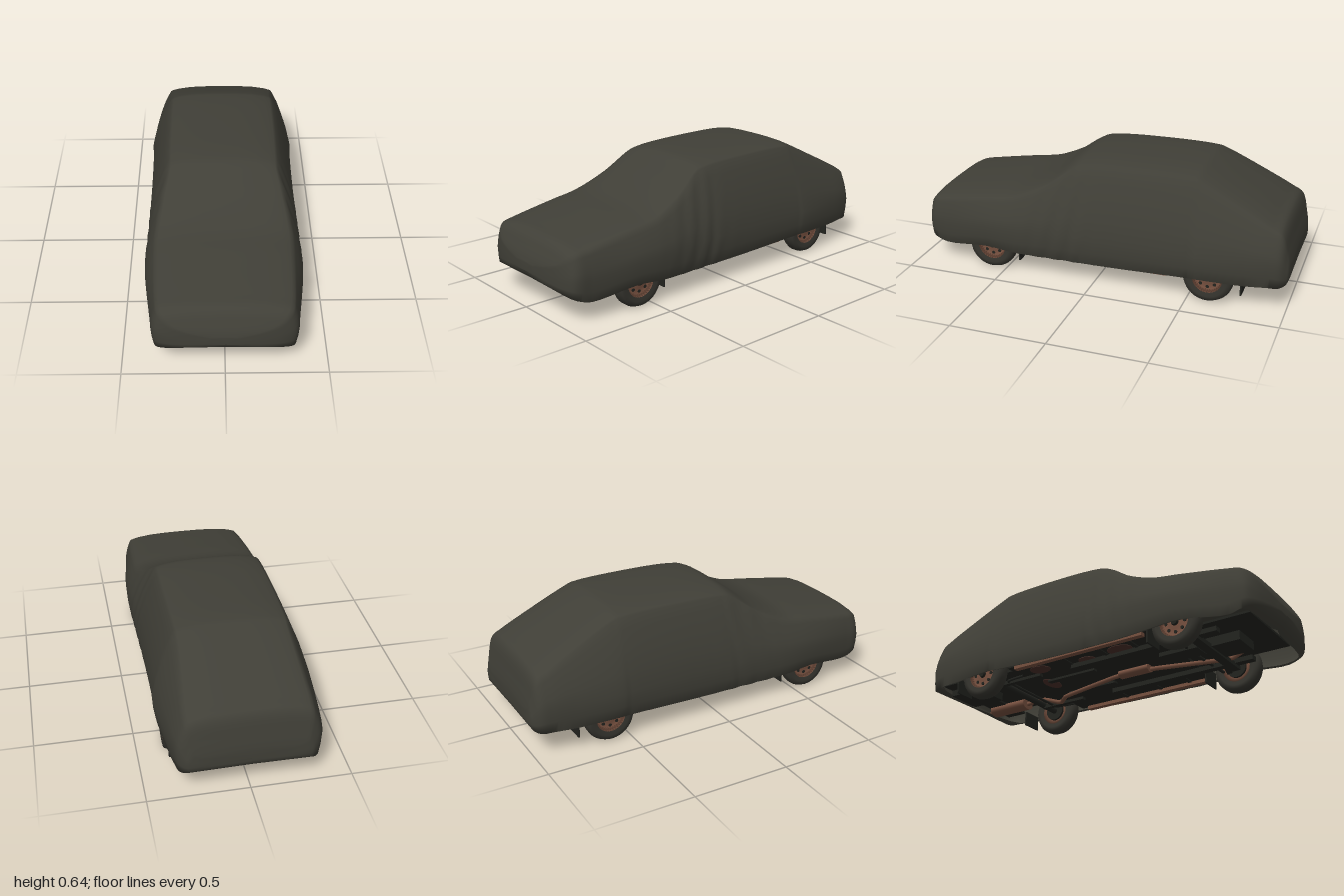
import * as THREE from 'three';

const mat = (name, color, side = THREE.FrontSide) => {
  const m = new THREE.MeshStandardMaterial({ color, side });
  m.name = name;
  return m;
};

export function createModel() {
  const car = new THREE.Group();
  car.name = 'coveredCar';
  const cloth = mat('coverCloth', 0x403f37, THREE.DoubleSide);
  const rubber = mat('tyreRubber', 0x35342e);
  const rust = mat('rustyMetal', 0x76503f);
  const dark = mat('darkUnderbody', 0x22231f);
  const patch = mat('rustStain', 0x49302a);

  const add = (parent, name, geo, material, x = 0, y = 0, z = 0) => {
    const mesh = new THREE.Mesh(geo, material);
    mesh.name = name;
    mesh.position.set(x, y, z);
    parent.add(mesh);
    return mesh;
  };
  const box = (name, w, h, d, material, x, y, z) =>
    add(car, name, new THREE.BoxGeometry(w, h, d), material, x, y, z);

  // Cloth cover stations: z, top y, shoulder half width, widest half width, hem y
  const stations = [
    [1, 0.235, 0.05, 0.07, 0.19],
    [0.988, 0.27, 0.18, 0.2, 0.165],
    [0.97, 0.305, 0.26, 0.285, 0.145],
    [0.945, 0.345, 0.3, 0.335, 0.128],
    [0.915, 0.367, 0.32, 0.352, 0.115],
    [0.85, 0.38, 0.33, 0.36, 0.098],
    [0.6, 0.42, 0.34, 0.392, 0.125],
    [0.45, 0.445, 0.34, 0.4, 0.115],
    [0.28, 0.52, 0.315, 0.394, 0.11],
    [0.135, 0.618, 0.283, 0.391, 0.11],
    [0.07, 0.632, 0.283, 0.391, 0.11],
    [-0.15, 0.642, 0.285, 0.39, 0.112],
    [-0.5, 0.636, 0.282, 0.396, 0.124],
    [-0.545, 0.623, 0.28, 0.401, 0.126],
    [-0.78, 0.51, 0.295, 0.38, 0.12],
    [-0.9, 0.447, 0.303, 0.363, 0.122],
    [-0.955, 0.415, 0.3, 0.348, 0.12],
    [-0.985, 0.31, 0.285, 0.318, 0.13],
    [-0.997, 0.245, 0.265, 0.295, 0.15],
    [-1, 0.205, 0.08, 0.1, 0.18]
  ];
  // Half a cross-section: crowned top, rounded shoulder, bulging side, tucked hem
  const halfSection = ([z, top, sw, bw, hy]) => {
    const drop = Math.min(0.032, 0.12 * (top - hy)), sy = top - drop;
    const by = Math.min(0.255, hy + 0.4 * (top - hy));
    const hw = bw * 0.965, turn = Math.abs(z) > 0.94 ? 0 : 0.96;
    const bulge = 0.05 * Math.max(0, sy - by);
    const crown = (t) => [sw * t, top - drop * t ** 5 * 0.75 - drop * t * t * 0.25];
    const side = (t) => [sw + (bw - sw) * t + bulge * Math.sin(Math.PI * t), sy + (by - sy) * t];
    return [
      ...[0, 0.3, 0.6, 0.85, 0.95, 1].map(crown), ...[0.15, 0.4, 0.7, 1].map(side),
      [bw + (hw - bw) * 0.35, by + (hy - by) * 0.55], [hw, hy], [hw * turn, hy + 0.004]
    ].map(([x, y]) => new THREE.Vector3(x, y, z));
  };
  const halves = stations.map(halfSection);
  const STEPS = 5, count = (stations.length - 1) * STEPS, half = halves[0].length;
  const columns = halves[0].map((_, j) => {
    const curve = new THREE.CatmullRomCurve3(halves.map((h) => h[j]), false, 'centripetal');
    return Array.from({ length: count + 1 }, (_, i) => {
      const p = curve.getPoint(i / count);
      // soft hanging folds on the lower side behind the front wheels
      if (j > 5 && j < 12) {
        p.x += 0.004 * Math.sin(p.z * 62 + p.y * 14) * Math.exp(-(((p.z - 0.2) / 0.16) ** 2));
      }
      return p;
    });
  });
  const pos = [], index = [], row = half * 2 - 1;
  for (let i = 0; i <= count; i++) {
    for (let k = 0; k < row; k++) {
      const j = k - half + 1, p = columns[Math.abs(j)][i];
      pos.push(Math.sign(j) * p.x, p.y, p.z);
    }
  }
  for (let i = 0; i < count; i++) {
    for (let k = 0; k < row - 1; k++) {
      const a = i * row + k, b = a + row;
      index.push(a, a + 1, b, a + 1, b + 1, b);
    }
  }
  // Close the small nose and tail rings
  for (let k = 1; k < row - 1; k++) {
    const end = count * row;
    index.push(0, k + 1, k, end, end + k, end + k + 1);
  }
  const cover = new THREE.BufferGeometry();
  cover.setAttribute('position', new THREE.Float32BufferAttribute(pos, 3));
  cover.setIndex(index);
  cover.computeVertexNormals();
  add(car, 'clothCover', cover, cloth);

  // Wheels: lathed tyre, dished rim with dark slots, hub
  const lathe = (pts) => new THREE.LatheGeometry(pts.map(([r, y]) => new THREE.Vector2(r, y)), 36);
  const tyre = lathe([[0.078, -0.034], [0.1, -0.038], [0.12, -0.036], [0.13, -0.014],
    [0.13, 0.014], [0.12, 0.036], [0.1, 0.038], [0.078, 0.034]]);
  const rim = lathe([[0, -0.02], [0.05, -0.02], [0.08, -0.034], [0.08, 0.034],
    [0.066, 0.014], [0.035, 0.022], [0, 0.022]]);
  for (const s of [-1, 1]) {
    for (const z of [0.575, -0.605]) {
      const wheel = new THREE.Group();
      wheel.name = z > 0 ? 'frontWheel' : 'rearWheel';
      wheel.position.set(s * 0.332, 0.13, z);
      wheel.rotation.z = -s * Math.PI / 2;
      add(wheel, 'tyre', tyre, rubber);
      add(wheel, 'rim', rim, rust);
      add(wheel, 'hubCap', new THREE.CylinderGeometry(0.016, 0.02, 0.014, 16), dark, 0, 0.028, 0);
      add(wheel, 'brakeDrum', new THREE.CylinderGeometry(0.055, 0.055, 0.02, 24), dark, 0, -0.026, 0);
      for (let i = 0; i < 8; i++) {
        const a = i * Math.PI / 4;
        add(wheel, 'rimSlot', new THREE.CylinderGeometry(0.009, 0.009, 0.008, 10), dark,
          0.051 * Math.cos(a), 0.0165, 0.051 * Math.sin(a));
      }
      car.add(wheel);
    }
    // Mud flaps and underbody side members
    box('frontMudFlap', 0.115, 0.09, 0.008, dark, s * 0.3, 0.105, 0.42);
    box('rearMudFlap', 0.115, 0.08, 0.008, dark, s * 0.3, 0.1, -0.775);
    box('sill', 0.03, 0.03, 0.78, rust, s * 0.345, 0.122, 0);
    box('frameRail', 0.04, 0.025, 0.85, dark, s * 0.2, 0.113, 0.3);
    box('seatRail', 0.03, 0.012, 0.3, dark, s * 0.1, 0.118, -0.2);
    box('trailingArm', 0.025, 0.02, 0.28, dark, s * 0.2, 0.12, -0.47);
    box('steeringArm', 0.2, 0.016, 0.03, dark, s * 0.21, 0.11, 0.56).rotation.y = s * 0.25;
  }

  // Floor pan and mechanical parts
  box('floorPan', 0.7, 0.012, 0.86, dark, 0, 0.132, -0.01);
  box('engineBayFloor', 0.46, 0.012, 0.5, dark, 0, 0.15, 0.66);
  box('bootFloor', 0.48, 0.012, 0.5, dark, 0, 0.17, -0.68);
  box('rearValance', 0.58, 0.012, 0.12, dark, 0, 0.16, -0.88);
  box('frontCrossMember', 0.48, 0.024, 0.05, dark, 0, 0.096, 0.6);
  box('engineSump', 0.16, 0.05, 0.2, dark, 0, 0.12, 0.68);
  box('gearbox', 0.1, 0.035, 0.22, dark, -0.04, 0.122, 0.44);
  box('fuelTank', 0.2, 0.05, 0.2, dark, -0.12, 0.145, -0.84);
  const tube = (name, r, material, pts) => add(car, name, new THREE.TubeGeometry(
    new THREE.CatmullRomCurve3(pts.map((p) => new THREE.Vector3(...p)), false, 'catmullrom', 0.1),
    48, r, 10), material);
  tube('rearAxle', 0.018, dark, [[-0.31, 0.13, -0.605], [0.31, 0.13, -0.605]]);
  tube('tieRod', 0.008, dark, [[-0.3, 0.12, 0.5], [0, 0.115, 0.49], [0.3, 0.12, 0.5]]);
  tube('stabiliserBar', 0.007, dark,
    [[-0.24, 0.12, -0.42], [-0.22, 0.12, -0.54], [0.22, 0.12, -0.54], [0.24, 0.12, -0.42]]);

  // Exhaust line with two silencers
  tube('exhaustPipe', 0.012, rust, [[0.14, 0.14, 0.7], [0.14, 0.11, 0.62], [0.03, 0.106, 0.24],
    [0.01, 0.106, 0.02], [0.1, 0.108, -0.38], [0.19, 0.12, -0.48], [0.17, 0.16, -0.6],
    [0.15, 0.14, -0.7], [0.15, 0.14, -0.96]]);
  const silencer = (name, r, l, x, y, z) => {
    const m = add(car, name, new THREE.CylinderGeometry(r, r, l, 20), rust, x, y, z);
    m.rotation.x = Math.PI / 2;
    m.scale.x = 1.5;
  };
  silencer('middleSilencer', 0.021, 0.18, 0.015, 0.109, 0.125);
  silencer('rearSilencer', 0.03, 0.24, 0.15, 0.142, -0.81);

  // Thin rust stains and raised ribs on the floor pan
  for (const [x, z, w, d] of [[-0.24, 0.19, 0.1, 0.14], [-0.22, -0.02, 0.08, 0.1],
    [-0.06, -0.36, 0.14, 0.08], [-0.25, -0.3, 0.09, 0.12]]) {
    const stain = add(car, 'floorRustStain', new THREE.CylinderGeometry(0.5, 0.5, 0.004, 14), patch, x, 0.125, z);
    stain.scale.set(w, 1, d);
  }
  for (const z of [-0.12, 0.1, 0.28]) {
    for (const s of [-1, 1]) box('floorRib', 0.16, 0.006, 0.02, dark, s * 0.26, 0.124, z);
  }
  return car;
}
